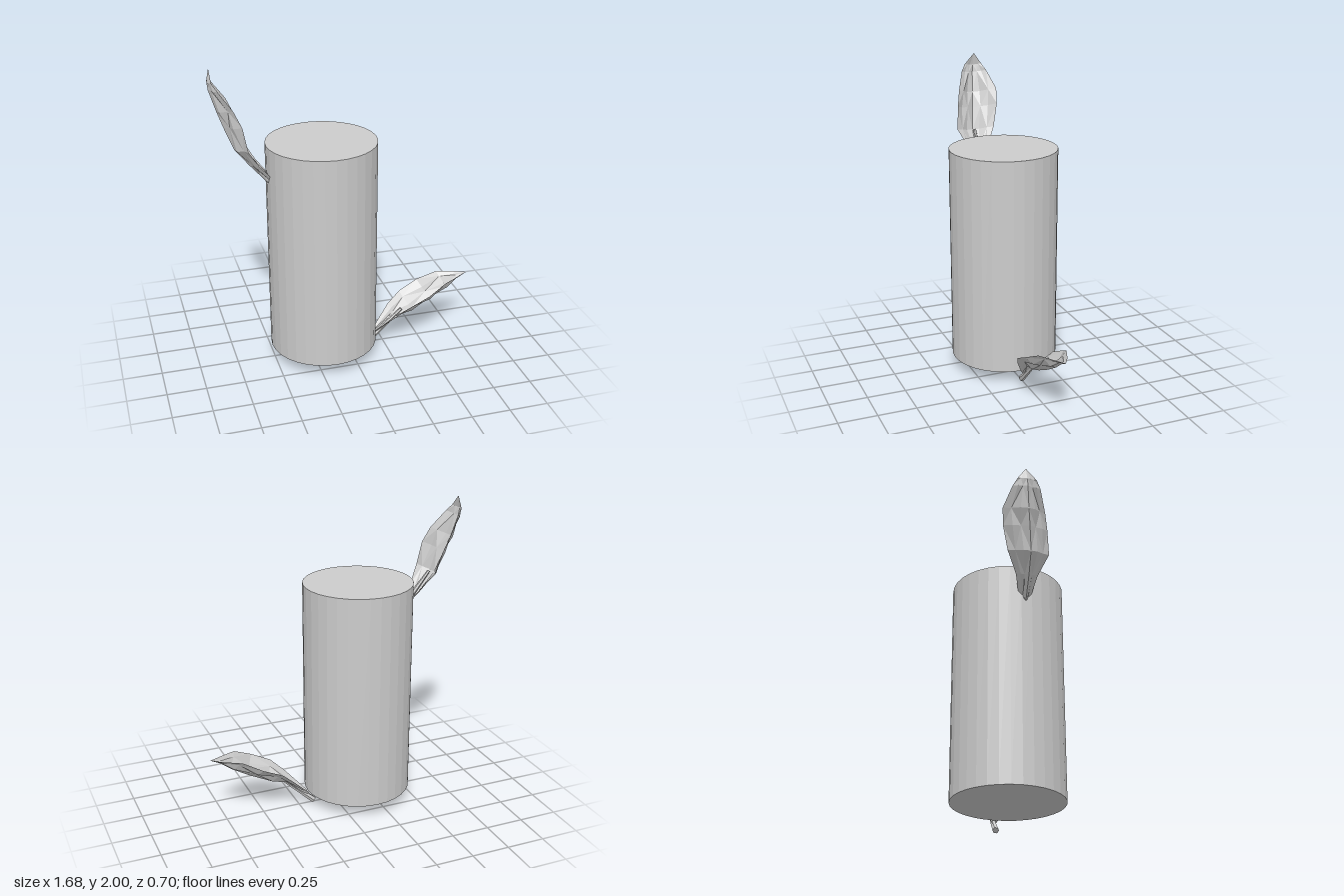
import * as THREE from 'three';

const material = new THREE.MeshStandardMaterial({ color: 0xcccccc, flatShading: true });
const leafMaterial = new THREE.MeshStandardMaterial({ color: 0xcccccc, flatShading: true, side: THREE.DoubleSide });

// Cupped blade: each row is [midrib x, y, z, front edge z, back edge z, edge lift]
function bladeGeometry(rows, up) {
  const positions = [];
  const index = [];
  const across = 7;
  rows.forEach(([x, y, z, front, back, lift], r) => {
    for (let c = 0; c < across; c++) {
      const s = (c - 3) / 3;
      const t = Math.abs(s);
      // small alternating folds between midrib and edge
      const fold = t > 0 && t < 1 ? ((r + c) % 2 ? 0.1 : -0.1) : 0;
      const h = lift * (Math.pow(t, 1.3) + fold);
      const edge = s < 0 ? back : front;
      positions.push(x + up[0] * h, y + up[1] * h, z + (edge - z) * t);
    }
  });
  for (let r = 0; r < rows.length - 1; r++) {
    for (let c = 0; c < across - 1; c++) {
      const a = r * across + c;
      const b = a + 1;
      const d = a + across;
      const e = d + 1;
      if ((r + c) % 2) index.push(a, b, e, a, e, d);
      else index.push(a, b, d, b, e, d);
    }
  }
  const geometry = new THREE.BufferGeometry();
  geometry.setAttribute('position', new THREE.Float32BufferAttribute(positions, 3));
  geometry.setIndex(index);
  geometry.computeVertexNormals();
  return geometry;
}

// Straight tapering stem between two points
function stemMesh(from, to) {
  const a = new THREE.Vector3(...from);
  const b = new THREE.Vector3(...to);
  const axis = b.clone().sub(a);
  const mesh = new THREE.Mesh(new THREE.CylinderGeometry(0.01, 0.021, axis.length(), 6), material);
  mesh.position.copy(a).add(b).multiplyScalar(0.5);
  mesh.quaternion.setFromUnitVectors(new THREE.Vector3(0, 1, 0), axis.normalize());
  mesh.name = 'stem';
  return mesh;
}

function makeLeaf(name, rows, up, stemFrom, stemTo) {
  const leaf = new THREE.Group();
  leaf.name = name;
  const blade = new THREE.Mesh(bladeGeometry(rows, up), leafMaterial);
  blade.name = 'blade';
  leaf.add(blade, stemMesh(stemFrom, stemTo));
  return leaf;
}

export function createModel() {
  const model = new THREE.Group();
  model.name = 'stalkWithLeaves';

  // Thick upright trunk
  const trunk = new THREE.Mesh(new THREE.CylinderGeometry(0.35, 0.35, 1.41, 32), material);
  trunk.position.set(-0.165, 0.795, 0);
  trunk.name = 'trunk';
  model.add(trunk);

  // Low leaf, arching outwards
  model.add(makeLeaf('lowerLeaf', [
    [0.20, 0.06, 0.00, 0.02, -0.02, 0.03],
    [0.34, 0.18, 0.01, 0.10, -0.09, 0.05],
    [0.45, 0.215, 0.01, 0.135, -0.105, 0.10],
    [0.58, 0.28, 0.01, 0.14, -0.12, 0.10],
    [0.70, 0.35, 0.01, 0.105, -0.08, 0.09],
    [0.78, 0.41, 0.01, 0.05, -0.035, 0.03],
    [0.84, 0.44, 0.01, 0.01, 0.01, 0],
  ], [-0.5, 0.85], [0.148, 0.016, 0], [0.38, 0.225, 0.005]));

  // High leaf, standing up with its tip curling in
  model.add(makeLeaf('upperLeaf', [
    [-0.48, 1.23, 0.03, 0.05, 0.01, 0.04],
    [-0.62, 1.39, 0.02, 0.085, -0.05, 0.05],
    [-0.71, 1.50, 0.01, 0.14, -0.12, 0.07],
    [-0.765, 1.64, -0.01, 0.125, -0.155, 0.10],
    [-0.80, 1.74, -0.025, 0.10, -0.168, 0.09],
    [-0.84, 1.87, -0.04, 0.05, -0.125, 0.045],
    [-0.845, 1.92, -0.045, 0.02, -0.10, 0.02],
    [-0.83, 2.00, -0.05, -0.05, -0.05, 0],
  ], [0.9, 0.35], [-0.45, 1.22, 0.03], [-0.67, 1.51, 0.01]));

  return model;
}
